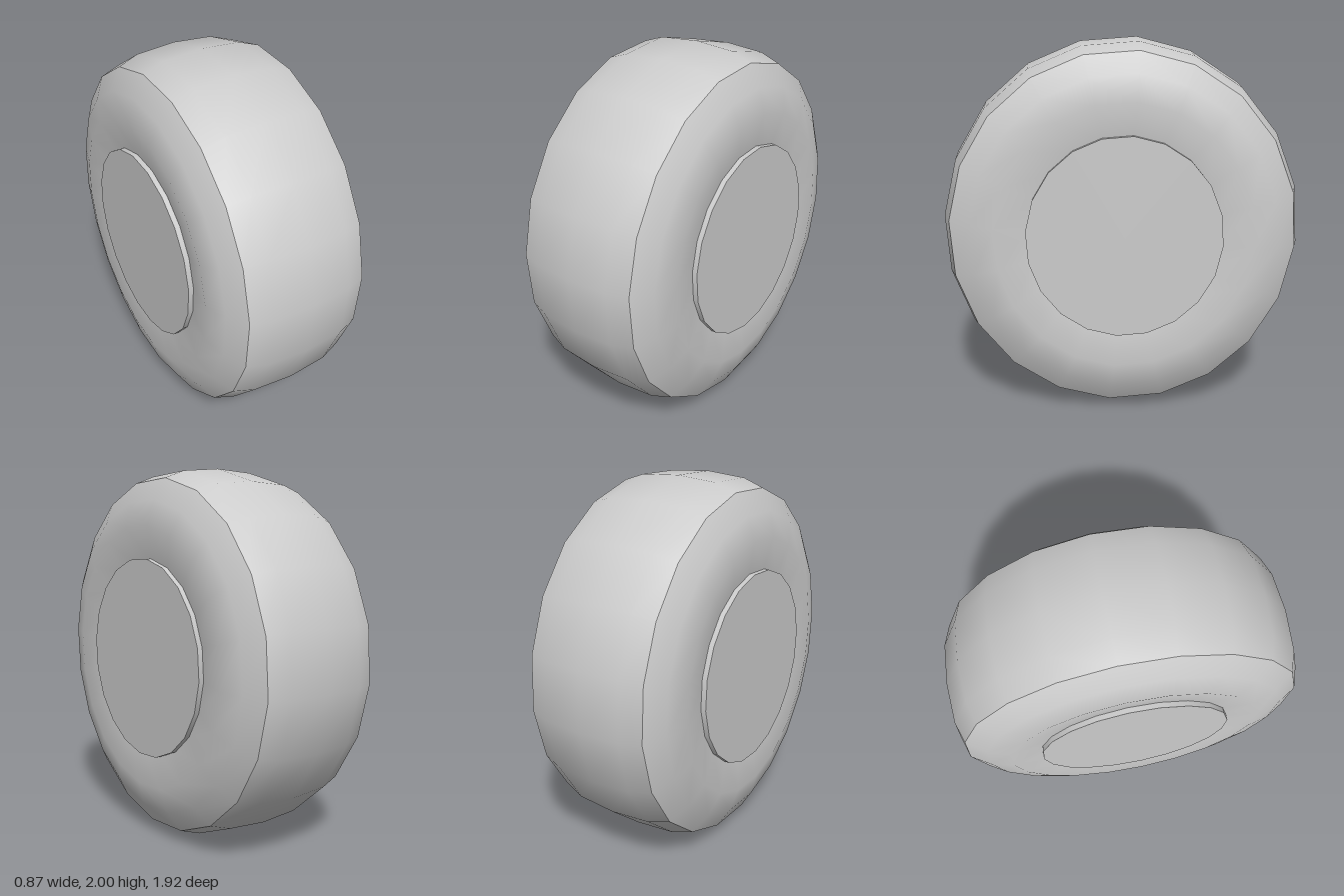
import * as THREE from 'three';
import { toCreasedNormals } from 'three/addons/utils/BufferGeometryUtils.js';

const SIDES = 20;
const START = THREE.MathUtils.degToRad(5);
const DEPTH = 0.96; // wheel is slightly narrower front to back than tall

export function createModel() {
  const group = new THREE.Group();
  group.name = 'wheel';
  const material = new THREE.MeshStandardMaterial({ color: 0xcccccc });

  // Lay a y-axis solid along x, squash it in depth and keep its hard edges
  const addPart = (name, geometry) => {
    geometry.rotateZ(Math.PI / 2);
    geometry.scale(1, 1, DEPTH);
    const mesh = new THREE.Mesh(toCreasedNormals(geometry, 0.52), material);
    mesh.name = name;
    mesh.position.y = 1;
    group.add(mesh);
  };

  // Tire: half profile as [radius, offset from the middle], mirrored
  const half = [[0.52, 0.405], [0.704, 0.435], [0.837, 0.4], [0.948, 0.335], [0.988, 0.22]];
  const profile = [
    ...half.map(([r, x]) => new THREE.Vector2(r, -x)),
    new THREE.Vector2(1.004, 0),
    ...half.map(([r, x]) => new THREE.Vector2(r, x)).reverse(),
  ];
  addPart('tire', new THREE.LatheGeometry(profile, SIDES, START));

  // Hub: runs right through, standing a little proud of both sidewalls
  addPart('hub', new THREE.CylinderGeometry(0.533, 0.533, 0.87, SIDES, 1, false, START));

  return group;
}
